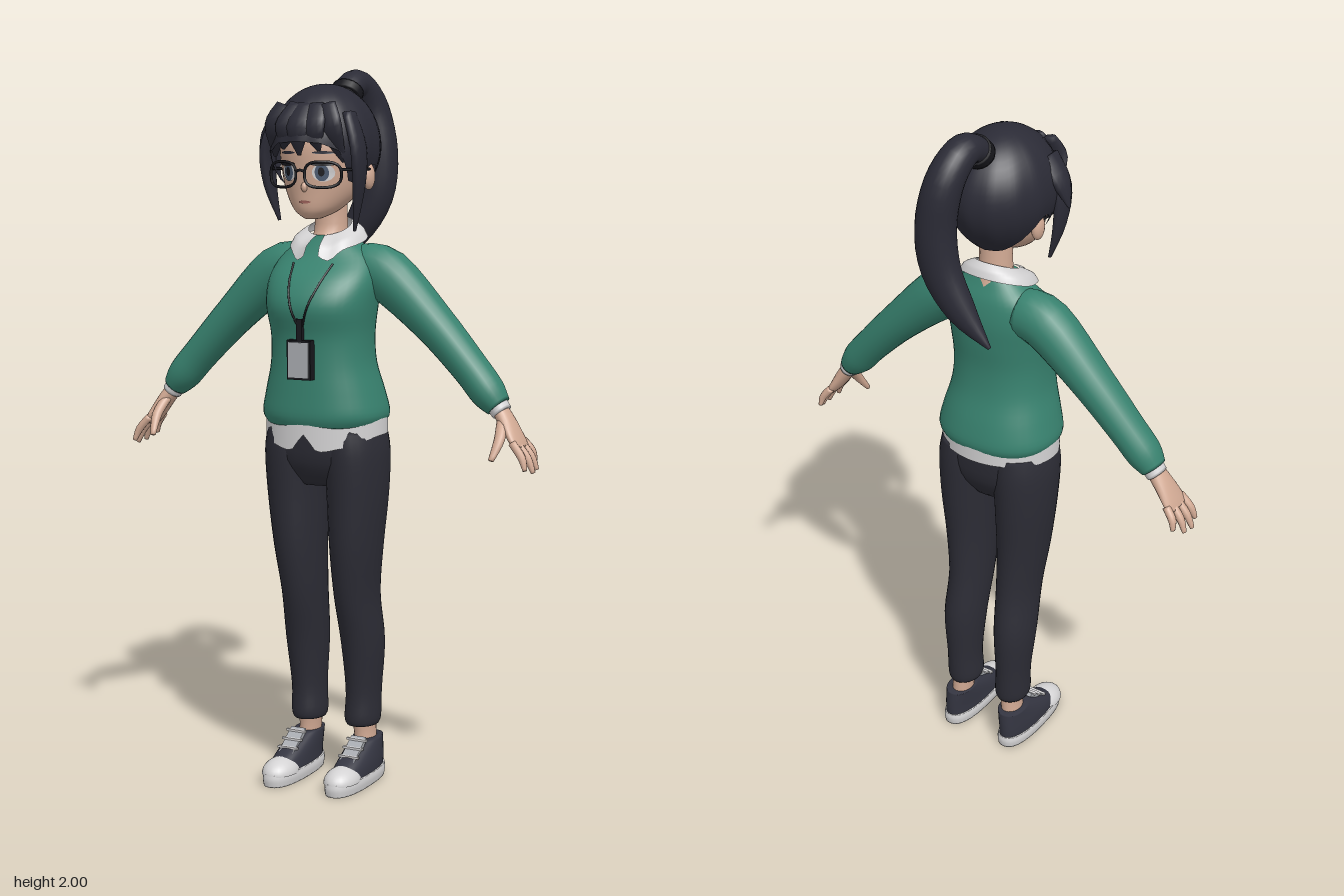
import * as THREE from 'three';
import { mergeVertices } from 'three/addons/utils/BufferGeometryUtils.js';

const mat = (name, color, side = THREE.FrontSide) => {
  const m = new THREE.MeshStandardMaterial({ color, side });
  m.name = name;
  return m;
};
const M = {
  skin: mat('skin', 0xd2aa94),
  hair: mat('hair', 0x2b2b36, THREE.DoubleSide),
  green: mat('sweater green', 0x38826f),
  white: mat('white', 0xd4d3d4, THREE.DoubleSide),
  trousers: mat('trousers', 0x2c2c35),
  shoe: mat('shoe canvas', 0x343541),
  grey: mat('light grey', 0xa9acb1),
  black: mat('black', 0x17171c),
  iris: mat('iris', 0x4b5a70),
  lips: mat('lips', 0xa4675f),
};

// Grid surface from fn(u, v); v runs so that u x v points outward
function surface(fn, nu, nv, closed = true) {
  const pos = [], idx = [], w = closed ? nu : nu + 1;
  for (let j = 0; j <= nv; j++)
    for (let i = 0; i < w; i++) pos.push(...fn(i / nu, j / nv, j).toArray());
  for (let j = 0; j < nv; j++)
    for (let i = 0; i < nu; i++) {
      const k = (i + 1) % w, a = j * w + i, b = j * w + k, c = b + w, d = a + w;
      idx.push(a, b, c, a, c, d);
    }
  let g = new THREE.BufferGeometry();
  g.setAttribute('position', new THREE.Float32BufferAttribute(pos, 3));
  g.setIndex(idx);
  g = mergeVertices(g);
  g.computeVertexNormals();
  return g;
}

// Smooth interpolation of rows of numbers
function sample(rows, v) {
  const n = rows.length - 1, f = Math.min(Math.max(v, 0), 1) * n;
  const i = Math.min(Math.floor(f), n - 1), t = f - i;
  const A = rows[Math.max(i - 1, 0)], B = rows[i], C = rows[i + 1], D = rows[Math.min(i + 2, n)];
  return B.map((b, k) => 0.5 * (2 * b + (C[k] - A[k]) * t + (2 * A[k] - 5 * b + 4 * C[k] - D[k]) * t * t
    + (3 * b - A[k] - 3 * C[k] + D[k]) * t * t * t));
}

// Capped skin over rows [x, y, z, across, along ref]; flat keeps the rings level
function tube(rows, { n = 20, flat = false, pow = 1, ref = [0, 0, 1], steps = 4 } = {}) {
  const nv = (rows.length - 1) * steps + 2, R = new THREE.Vector3(...ref);
  const at = v => new THREE.Vector3(...sample(rows, v).slice(0, 3));
  const sp = q => Math.sign(q) * Math.abs(q) ** pow;
  return surface((u, _, j) => {
    const v = Math.min(Math.max((j - 1) / (nv - 2), 0), 1), cap = j === 0 || j === nv ? 0 : 1;
    const [, , , a, b] = sample(rows, v), th = u * Math.PI * 2;
    const T = flat ? new THREE.Vector3(0, 1, 0) : at(v + 0.01).sub(at(v - 0.01)).normalize();
    const s = R.clone().cross(T).normalize(), m = T.clone().cross(s);
    return at(v).addScaledVector(s, cap * Math.max(a, 0) * sp(Math.cos(th)))
      .addScaledVector(m, cap * Math.max(b, 0) * sp(Math.sin(th)));
  }, n, nv);
}

// Front z of a level-ring body at x, y
function frontZ(rows, x, y, pow = 1) {
  let i = 0;
  while (i < rows.length - 2 && rows[i + 1][1] < y) i++;
  const A = rows[i], B = rows[i + 1], t = (y - A[1]) / (B[1] - A[1]);
  const [, , cz, rx, rz] = A.map((a, k) => a + (B[k] - a) * t);
  const s = Math.min(Math.abs(x) / rx, 1) ** (1 / pow);
  return cz + rz * (1 - s * s) ** (pow / 2);
}

const HEAD = [[0, 1.597, 0.15, 0.02, 0.028], [0, 1.62, 0.125, 0.06, 0.07], [0, 1.67, 0.09, 0.098, 0.11],
  [0, 1.73, 0.08, 0.115, 0.125], [0, 1.8, 0.075, 0.122, 0.132], [0, 1.88, 0.07, 0.1, 0.115]];
const TORSO = [[0, 1.03, 0.07, 0.162, 0.138], [0, 1.06, 0.07, 0.178, 0.148], [0, 1.12, 0.075, 0.166, 0.142],
  [0, 1.2, 0.085, 0.146, 0.13], [0, 1.28, 0.09, 0.143, 0.128], [0, 1.36, 0.095, 0.153, 0.14],
  [0, 1.43, 0.077, 0.158, 0.125], [0, 1.49, 0.05, 0.14, 0.088], [0, 1.53, 0.045, 0.09, 0.065], [0, 1.55, 0.045, 0.065, 0.055]];

export function createModel() {
  const root = new THREE.Group();
  const add = (name, geo, material, parent = root) => {
    const m = new THREE.Mesh(geo, material);
    m.name = name;
    parent.add(m);
    return m;
  };
  const both = fn => [['left', 1], ['right', -1]].forEach(([n, s]) => fn(s, n));
  const flip = (rows, s) => rows.map(([x, ...r]) => [x * s, ...r]);
  const wire = (pts, r, closed = false) => new THREE.TubeGeometry(
    new THREE.CatmullRomCurve3(pts.map(p => new THREE.Vector3(...p)), closed), 32, r, 6, closed);

  // Torso and clothes
  add('sweater', tube(TORSO, { n: 40, flat: true, pow: 0.87 }), M.green);
  add('shirtHem', surface((u, v) => {
    const t = u * Math.PI * 2, c = Math.max(Math.cos(t), 0);
    const low = 1.005 - 0.045 * c ** 2 + 0.05 * Math.exp(-((Math.sin(t) / 0.14) ** 2)) * c;
    return new THREE.Vector3(Math.sin(t) * 0.176, low + (1.05 - low) * v, 0.068 + Math.cos(t) * 0.143);
  }, 64, 3), M.white);
  add('neck', tube([[0, 1.47, 0.05, 0.07, 0.09], [0, 1.53, 0.045, 0.052, 0.065], [0, 1.58, 0.04, 0.046, 0.047],
    [0, 1.7, 0.045, 0.046, 0.047]], { flat: true }), M.skin);
  add('collar', surface((u, v) => {
    const t = 0.2 + u * (Math.PI * 2 - 0.4), c = Math.cos(t), off = Math.min(t, Math.PI * 2 - t);
    const low = 1.535 - 0.03 * c - 0.025 * Math.exp(-(((off - 0.45) / 0.25) ** 2)), high = 1.575 - 0.025 * c;
    return new THREE.Vector3(Math.sin(t) * (0.108 - 0.048 * v), low + (high - low) * Math.sqrt(v),
      0.047 + c * ((c > 0 ? 0.12 : 0.085) * (1 - v) + 0.058 * v));
  }, 48, 5, false), M.white);

  // Badge on its cord
  both((s, n) => add(n + 'Cord', wire([[0.06, 1.475], [0.045, 1.42], [0.025, 1.36], [0.004, 1.3]]
    .map(([x, y]) => [x * s, y, frontZ(TORSO, x, y, 0.87) + 0.003]), 0.003), M.black));
  add('badgeClip', new THREE.BoxGeometry(0.018, 0.06, 0.014), M.black).position.set(0, 1.3, 0.228);
  add('badgeHolder', new THREE.BoxGeometry(0.072, 0.108, 0.024), M.black).position.set(0, 1.218, 0.225);
  add('badgeCard', new THREE.BoxGeometry(0.062, 0.096, 0.004), M.grey).position.set(0, 1.218, 0.238);

  // Hips
  add('hips', tube([[0, 0.86, 0.065, 0.08, 0.08], [0, 0.93, 0.065, 0.165, 0.118], [0, 1.04, 0.066, 0.166, 0.128]],
    { n: 32, flat: true, pow: 0.9 }), M.trousers);

  both((s, n) => {
    // Arm
    const arm = new THREE.Group();
    arm.name = n + 'Arm';
    root.add(arm);
    add('sleeve', tube(flip([[0.09, 1.455, 0.035, 0.07, 0.065], [0.17, 1.44, 0.035, 0.074, 0.07], [0.31, 1.315, 0.035, 0.058, 0.062],
      [0.42, 1.2, 0.04, 0.05, 0.055], [0.475, 1.137, 0.045, 0.048, 0.052], [0.507, 1.1, 0.045, 0.035, 0.039]], s)), M.green, arm);
    add('shirtCuff', tube(flip([[0.495, 1.113, 0.045, 0.031, 0.035], [0.518, 1.084, 0.046, 0.028, 0.033]], s)), M.white, arm);
    add('palm', tube(flip([[0.505, 1.1, 0.045, 0.022, 0.027], [0.535, 1.06, 0.05, 0.021, 0.036],
      [0.565, 1.015, 0.055, 0.016, 0.046], [0.58, 0.993, 0.056, 0.011, 0.042]], s)), M.skin, arm);
    [[0.016, 0.002, 0.598, 0.952], [0.042, 0.036, 0.616, 0.934], [0.069, 0.073, 0.62, 0.93], [0.094, 0.108, 0.61, 0.94]]
      .forEach(([z0, z1, x, y]) => add('finger', tube(flip([[0.567, 1.01, z0, 0.011, 0.012],
        [(0.567 + x) / 2 + 0.008, (1.01 + y) / 2, (z0 + z1) / 2, 0.011, 0.012], [x, y, z1, 0.006, 0.007]], s), { n: 10 }), M.skin, arm));
    add('thumb', tube(flip([[0.525, 1.065, 0.065, 0.014, 0.014], [0.535, 1.02, 0.105, 0.014, 0.015],
      [0.526, 0.967, 0.142, 0.007, 0.008]], s), { n: 10, ref: [1, 0, 0] }), M.skin, arm);

    // Leg
    const leg = new THREE.Group();
    leg.name = n + 'Leg';
    root.add(leg);
    add('trouserLeg', tube(flip([[0.085, 0.158, 0.01, 0.044, 0.055], [0.085, 0.18, 0.01, 0.05, 0.062], [0.087, 0.26, 0.008, 0.049, 0.063],
      [0.088, 0.4, 0.016, 0.059, 0.077], [0.083, 0.54, 0.043, 0.06, 0.087], [0.088, 0.68, 0.058, 0.07, 0.099],
      [0.093, 0.83, 0.06, 0.081, 0.111], [0.092, 0.95, 0.063, 0.086, 0.12], [0.088, 1.02, 0.065, 0.078, 0.118]], s),
      { n: 28, flat: true }), M.trousers, leg);
    add('ankle', tube(flip([[0.093, 0.07, 0.0, 0.03, 0.042], [0.088, 0.13, 0.0, 0.03, 0.04], [0.086, 0.18, 0.005, 0.034, 0.042]], s),
      { flat: true }), M.skin, leg);
    add('sole', tube(flip([[0.098, 0, 0.085, 0.048, 0.148], [0.098, 0.02, 0.085, 0.051, 0.151], [0.098, 0.036, 0.085, 0.049, 0.148]], s),
      { n: 32, flat: true, pow: 0.8 }), M.white, leg);
    add('shoeUpper', tube(flip([[0.098, 0.03, 0.08, 0.047, 0.142], [0.098, 0.06, 0.062, 0.046, 0.125],
      [0.096, 0.09, 0.03, 0.043, 0.092], [0.094, 0.118, -0.003, 0.039, 0.056]], s), { n: 32, flat: true, pow: 0.9 }), M.shoe, leg);
    const toe = add('toeCap', new THREE.SphereGeometry(1, 24, 12, 0, Math.PI * 2, 0, Math.PI / 2), M.white, leg);
    toe.scale.set(0.049, 0.042, 0.068);
    toe.position.set(0.098 * s, 0.03, 0.166);
    const tongue = add('tongue', new THREE.BoxGeometry(0.046, 0.012, 0.11), M.grey, leg);
    tongue.position.set(0.097 * s, 0.095, 0.103);
    tongue.rotation.x = 0.6;
    for (let i = 0; i < 3; i++)
      add('lace', new THREE.BoxGeometry(0.062, 0.006, 0.009), M.white, leg).position.set(0.097 * s, 0.088 + i * 0.018, 0.125 - i * 0.026);
  });

  // Head and face
  add('head', tube(HEAD, { n: 36, flat: true }), M.skin);
  const patch = (name, x, y, rx, ry, lift, material) => {
    const g = new THREE.CircleGeometry(1, 24), p = g.attributes.position;
    for (let i = 0; i < p.count; i++) {
      const px = x + p.getX(i) * rx, py = y + p.getY(i) * ry;
      p.setXYZ(i, px, py, frontZ(HEAD, px, py) + lift);
    }
    g.computeVertexNormals();
    add(name, g, material);
  };
  patch('mouth', 0, 1.643, 0.018, 0.004, 0.004, M.lips);
  const nose = add('nose', new THREE.SphereGeometry(1, 12, 8), M.skin);
  nose.scale.set(0.009, 0.014, 0.012);
  nose.position.set(0, 1.683, 0.199);
  both((s, n) => {
    patch(n + 'EyeWhite', 0.052 * s, 1.722, 0.027, 0.024, 0.003, M.white);
    patch(n + 'Iris', 0.05 * s, 1.722, 0.017, 0.023, 0.005, M.iris);
    patch(n + 'Pupil', 0.05 * s, 1.724, 0.008, 0.012, 0.007, M.black);
    patch(n + 'Lash', 0.054 * s, 1.745, 0.031, 0.006, 0.007, M.black);
    patch(n + 'Brow', 0.054 * s, 1.775, 0.028, 0.004, 0.004, M.hair);
    const ear = add(n + 'Ear', new THREE.SphereGeometry(1, 16, 12), M.skin);
    ear.scale.set(0.016, 0.036, 0.024);
    ear.position.set(0.122 * s, 1.71, 0.055);
    // Glasses
    const rim = [];
    for (let i = 0; i < 20; i++) {
      const a = i / 20 * Math.PI * 2, q = f => Math.sign(f) * Math.abs(f) ** 0.7;
      const x = 0.06 + 0.047 * q(Math.cos(a));
      rim.push([x * s, 1.717 + 0.034 * q(Math.sin(a)), 0.225 - 3 * x * x]);
    }
    add(n + 'GlassesRim', wire(rim, 0.004, true), M.black);
    add(n + 'GlassesTemple', wire([[0.105 * s, 1.73, 0.193], [0.126 * s, 1.73, 0.14], [0.13 * s, 1.73, 0.05]], 0.004), M.black);
  });
  add('glassesBridge', wire([[-0.014, 1.725, 0.224], [0, 1.729, 0.228], [0.014, 1.725, 0.224]], 0.004), M.black);

  // Hair cap with a shaped lower edge [degrees from front, y]
  const EDGE = [[0, 1.805], [25, 1.8], [45, 1.78], [60, 1.7], [75, 1.69], [87, 1.745], [100, 1.74], [115, 1.68], [140, 1.645], [180, 1.64]];
  add('hairCap', surface((u, v) => {
    const t = u * Math.PI * 2, deg = Math.min(u, 1 - u) * 360;
    let i = 0;
    while (i < EDGE.length - 2 && EDGE[i + 1][0] < deg) i++;
    const [A, B] = [EDGE[i], EDGE[i + 1]], edge = A[1] + (B[1] - A[1]) * (deg - A[0]) / (B[0] - A[0]);
    const phi = Math.acos((edge - 1.79) / 0.17) * (1 - v), d = Math.max(-Math.cos(phi) * 0.17, 0) / 0.15;
    const f = (phi < Math.PI / 2 ? Math.sin(phi) : 1 - 0.5 * d * d) * (1 + 0.012 * Math.cos(14 * t) * (1 - v));
    return new THREE.Vector3(Math.sin(t) * 0.146 * f, 1.79 + 0.17 * Math.cos(phi), 0.072 + Math.cos(t) * 0.174 * f);
  }, 72, 20), M.hair);

  // Fringe, side locks and ponytail
  [[-0.06, -0.105, 1.765, 0.17], [-0.02, -0.06, 1.785, 0.208], [0.0, -0.005, 1.768, 0.22], [0.03, 0.05, 1.78, 0.21], [0.06, 0.105, 1.75, 0.172]]
    .forEach(([x0, x, y, z]) => add('fringe', tube([[x0, 1.9, 0.19, 0.03, 0.014], [(x0 + x) / 2, 1.84, (z + 0.27) / 2 - 0.012, 0.036, 0.014],
      [x, y, z, 0.005, 0.004]], { n: 12 }), M.hair));
  both((s, n) => add(n + 'SideLock', tube(flip([[0.105, 1.88, 0.14, 0.015, 0.03], [0.137, 1.79, 0.15, 0.016, 0.04],
    [0.136, 1.69, 0.143, 0.014, 0.03], [0.115, s > 0 ? 1.565 : 1.59, 0.128, 0.004, 0.006]], s), { n: 12 }), M.hair));
  add('sideTuft', tube([[-0.1, 1.88, 0.13, 0.02, 0.04], [-0.145, 1.82, 0.13, 0.02, 0.035], [-0.172, 1.75, 0.13, 0.003, 0.005]], { n: 12 }), M.hair);
  add('ponytail', tube([[0, 1.89, -0.01, 0.035, 0.04], [0, 1.945, -0.06, 0.037, 0.042], [0, 1.957, -0.125, 0.045, 0.046],
    [0.015, 1.89, -0.18, 0.052, 0.052], [0.033, 1.77, -0.192, 0.053, 0.056], [0.02, 1.65, -0.19, 0.048, 0.056],
    [-0.04, 1.54, -0.183, 0.036, 0.042], [-0.125, 1.455, -0.18, 0.005, 0.005]], { n: 24, ref: [1, 0, 0] }), M.hair);
  add('hairTie', tube([[0, 1.925, -0.04, 0.043, 0.047], [0, 1.945, -0.062, 0.043, 0.047]], { ref: [1, 0, 0] }), M.black);
  return root;
}
